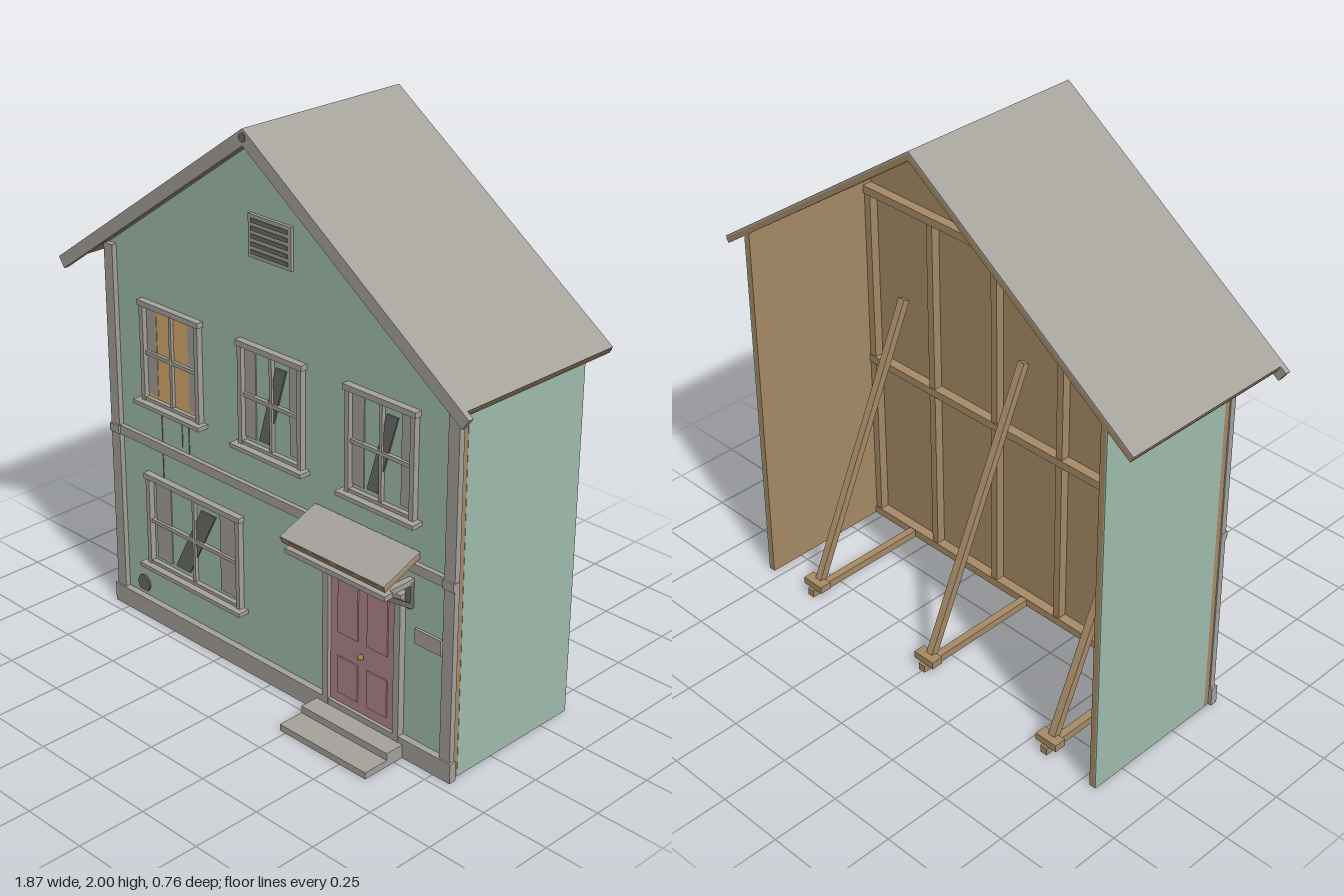
import * as THREE from 'three';

const mat = (name, color) => Object.assign(new THREE.MeshStandardMaterial({ color }), { name });

export function createModel() {
  const M = {
    trim: mat('grey trim', 0xa5a19b),
    green: mat('green siding', 0xa0bcad),
    wood: mat('raw wood', 0xa68a66),
    glow: mat('warm window', 0xd6aa6c),
    door: mat('door red', 0xb0868a),
    dark: mat('dark grey', 0x6b6b69),
    black: mat('black', 0x3c3c3c),
    brass: mat('brass', 0x9a8040),
  };
  const house = new THREE.Group();
  house.name = 'houseFront';

  const add = (name, geo, m, parent = house) => {
    const mesh = new THREE.Mesh(geo, m);
    mesh.name = name;
    parent.add(mesh);
    return mesh;
  };
  // box given by its limits on each axis
  const box = (name, m, x0, x1, y0, y1, z0, z1, parent) => {
    const b = add(name, new THREE.BoxGeometry(x1 - x0, y1 - y0, z1 - z0), m, parent);
    b.position.set((x0 + x1) / 2, (y0 + y1) / 2, (z0 + z1) / 2);
    return b;
  };
  // flat outline in x,y pushed from z0 to z1
  const plate = (name, m, pts, z0, z1, parent) => {
    const shape = new THREE.Shape(pts.map(([x, y]) => new THREE.Vector2(x, y)));
    const geo = new THREE.ExtrudeGeometry(shape, { depth: z1 - z0, bevelEnabled: false });
    return add(name, geo.translate(0, 0, z0), m, parent);
  };
  // square bar between two points in a plane of constant x
  const bar = (name, m, x, y0, z0, y1, z1, w, d) => {
    const b = add(name, new THREE.BoxGeometry(w, d, Math.hypot(y1 - y0, z1 - z0)), m);
    b.position.set(x, (y0 + y1) / 2, (z0 + z1) / 2);
    b.rotation.x = Math.atan2(-(y1 - y0), z1 - z0);
    return b;
  };

  const K = 0.704, S = 0.576, C = 0.8175; // roof pitch
  const F = 0.188; // face of the siding

  // front wall: wooden panel with green siding
  const gable = [[-0.81, 0], [0.81, 0], [0.81, 1.97 - K * 0.81], [0, 1.97], [-0.81, 1.97 - K * 0.81]];
  plate('frontPanel', M.wood, gable, 0.163, 0.184);
  plate('frontSiding', M.green, gable, 0.184, F);

  // side walls, green outside and wood inside
  for (const s of [-1, 1]) {
    const side = (name, m, a, b) => {
      const pts = [[a, 0], [b, 0], [b, 1.97 - K * b], [a, 1.97 - K * a]].map(([x, y]) => [s * x, y]);
      plate(name, m, pts, -0.38, 0.163);
    };
    side('sideWall', M.wood, 0.785, 0.806);
    side('sideSiding', M.green, 0.806, 0.811);
  }

  // roof: bent bands with ends cut square to the slope
  const chevron = (name, m, X, top, t, z0, z1) => {
    const d = t * C, y = top - K * X;
    plate(name, m, [[0, top], [-X, y], [-X + S * d, y - C * d], [0, top - t],
      [X - S * d, y - C * d], [X, y]], z0, z1);
  };
  chevron('roofCovering', M.trim, 0.912, 2, 0.01, -0.38, 0.29);
  chevron('roofBoards', M.wood, 0.91, 1.99, 0.022, -0.38, 0.288);
  chevron('bargeBoards', M.trim, 0.935, 2, 0.055, 0.288, 0.308);
  const peak = add('peakCap', new THREE.CylinderGeometry(0.016, 0.016, 0.024, 6), M.dark);
  peak.rotation.x = Math.PI / 2;
  peak.position.set(0, 1.972, 0.299);

  // flat trim on the front
  for (const s of [-1, 1]) {
    box('cornerBoard', M.trim, s * 0.793 - 0.022, s * 0.793 + 0.022, 0.07, 1.4, 0.185, 0.207);
    box('cornerBlock', M.trim, s * 0.793 - 0.023, s * 0.793 + 0.023, 0.692, 0.722, 0.186, 0.214);
  }
  box('beltBoard', M.trim, -0.772, 0.772, 0.69, 0.724, F, 0.205);
  const baseGaps = box('baseBoard', M.trim, -0.823, 0.823, 0, 0.072, 0.185, 0.213);
  baseGaps.name = 'baseBoard';

  // windows
  const windowUnit = (cx, y0, y1, hw, opt) => {
    const g = new THREE.Group();
    g.name = 'window';
    g.position.x = cx;
    house.add(g);
    const yb = y0 + 0.015, cy = (y0 + y1) / 2, w = 0.018;
    for (const s of [-1, 1]) {
      box('jamb', M.trim, s * (hw - w / 2) - w / 2, s * (hw - w / 2) + w / 2, yb, y1, F, 0.21, g);
      const c = s * opt.curtainX;
      box('curtain', M.trim, c - opt.curtainW / 2, c + opt.curtainW / 2, yb + 0.025, y1 - 0.03, F, 0.192, g);
    }
    box('head', M.trim, -hw - 0.006, hw + 0.006, y1 - 0.02, y1, F, 0.214, g);
    box('sill', M.trim, -hw - 0.02, hw + 0.02, y0, y0 + 0.015, F, 0.232, g);
    box('lowerRail', M.trim, -hw, hw, yb, yb + 0.012, F, 0.206, g);
    box('mullion', M.trim, -0.006, 0.006, yb, y1, F, 0.202, g);
    box('meetingRail', M.trim, -hw + w, hw - w, cy - 0.007, cy + 0.007, F, 0.202, g);
    if (opt.lit) box('litPane', M.glow, -hw + w, hw - w, yb, y1 - 0.01, F, 0.1905, g);
    else {
      const { lean, band } = opt, a = y0 + 0.045, b = y1 - 0.055;
      plate('glassGleam', M.dark, [[-lean - band, a], [-lean + band, a], [lean + band, b], [lean - band, b]], F, 0.194, g);
    }
  };
  const upper = { curtainX: 0.107, curtainW: 0.055, lean: 0.041, band: 0.023 };
  windowUnit(-0.49, 0.855, 1.24, 0.148, { ...upper, lit: true });
  windowUnit(0, 0.855, 1.24, 0.148, upper);
  windowUnit(0.49, 0.855, 1.24, 0.148, upper);
  windowUnit(-0.395, 0.215, 0.585, 0.24, { curtainX: 0.167, curtainW: 0.08, lean: 0.07, band: 0.037 });

  // gable vent
  box('ventPanel', M.trim, -0.097, 0.097, 1.537, 1.682, F, 0.2);
  for (let i = 0; i < 5; i++) {
    const y = 1.557 + i * 0.0262;
    box('ventSlot', M.dark, -0.083, 0.083, y - 0.007, y + 0.007, 0.199, 0.203);
  }

  // stains, mouse hole and number plate
  for (const [x, y] of [[-0.56, 0.585], [-0.455, 0.74], [-0.42, 0.68]])
    box('crack', M.dark, x - 0.002, x + 0.002, y, 0.856, F, 0.19);
  const hole = [];
  for (let i = 0; i <= 14; i++) {
    const a = -0.9 + i * (Math.PI + 1.8) / 14;
    hole.push([-0.685 + 0.032 * Math.cos(a), 0.115 + 0.034 * Math.sin(a)]);
  }
  plate('wallHole', M.dark, hole, F, 0.194);
  box('numberPlate', M.trim, 0.645, 0.755, 0.435, 0.49, F, 0.197);

  // door with raised panels
  box('doorLeaf', M.door, 0.275, 0.572, 0.072, 0.582, F, 0.2);
  for (const s of [-1, 1]) {
    const x = 0.424 + s * 0.066;
    for (const [a, b] of [[0.11, 0.25], [0.34, 0.545]])
      box('doorPanel', M.door, x - 0.045, x + 0.045, a, b, 0.2, 0.205);
    box('doorCasing', M.trim, 0.424 + s * 0.16 - 0.013, 0.424 + s * 0.16 + 0.013, 0.05, 0.585, F, 0.214);
  }
  box('doorHead', M.trim, 0.243, 0.605, 0.582, 0.602, F, 0.222);
  box('doorFrieze', M.trim, 0.265, 0.583, 0.602, 0.618, F, 0.21);
  box('doorCornice', M.trim, 0.285, 0.563, 0.618, 0.632, F, 0.225);
  const knob = add('doorKnob', new THREE.SphereGeometry(0.011, 12, 8), M.brass);
  knob.position.set(0.425, 0.295, 0.213);

  // canopy over the door
  bar('canopyTop', M.trim, 0.425, 0.761, 0.19, 0.7, 0.35, 0.46, 0.008);
  bar('canopyBoards', M.wood, 0.425, 0.749, 0.19, 0.688, 0.346, 0.456, 0.018);
  box('canopyShelf', M.trim, 0.203, 0.645, 0.642, 0.66, 0.3, 0.338);
  for (const x of [0.226, 0.62]) {
    box('bracketArm', M.trim, x - 0.011, x + 0.011, 0.64, 0.66, F, 0.335);
    box('bracketPost', M.dark, x - 0.011, x + 0.011, 0.555, 0.65, F, 0.205);
    bar('bracketStrut', M.dark, x, 0.565, 0.2, 0.643, 0.318, 0.02, 0.016);
  }

  // steps
  box('upperStep', M.trim, 0.225, 0.617, 0, 0.05, 0.19, 0.285);
  box('lowerStep', M.trim, 0.225, 0.617, 0, 0.024, 0.285, 0.384);

  // framing behind the front wall
  for (let i = 0; i < 6; i++) {
    const x = -0.77 + i * 0.308;
    box('stud', M.wood, x - 0.014, x + 0.014, 0.03, 1.38, 0.13, 0.163);
  }
  for (const y of [0.015, 0.7, 1.39])
    box('plateBeam', M.wood, -0.785, 0.785, y - 0.015, y + 0.015, 0.126, 0.163);

  // raking braces with floor beams
  for (const x of [-0.58, 0, 0.58]) {
    box('floorBeam', M.wood, x - 0.014, x + 0.014, 0, 0.028, -0.38, 0.13);
    bar('brace', M.wood, x, 0.04, -0.335, 1.04, 0.115, 0.028, 0.028);
    box('braceFoot', M.wood, x - 0.045, x + 0.045, 0.028, 0.055, -0.37, -0.325);
  }
  return house;
}
